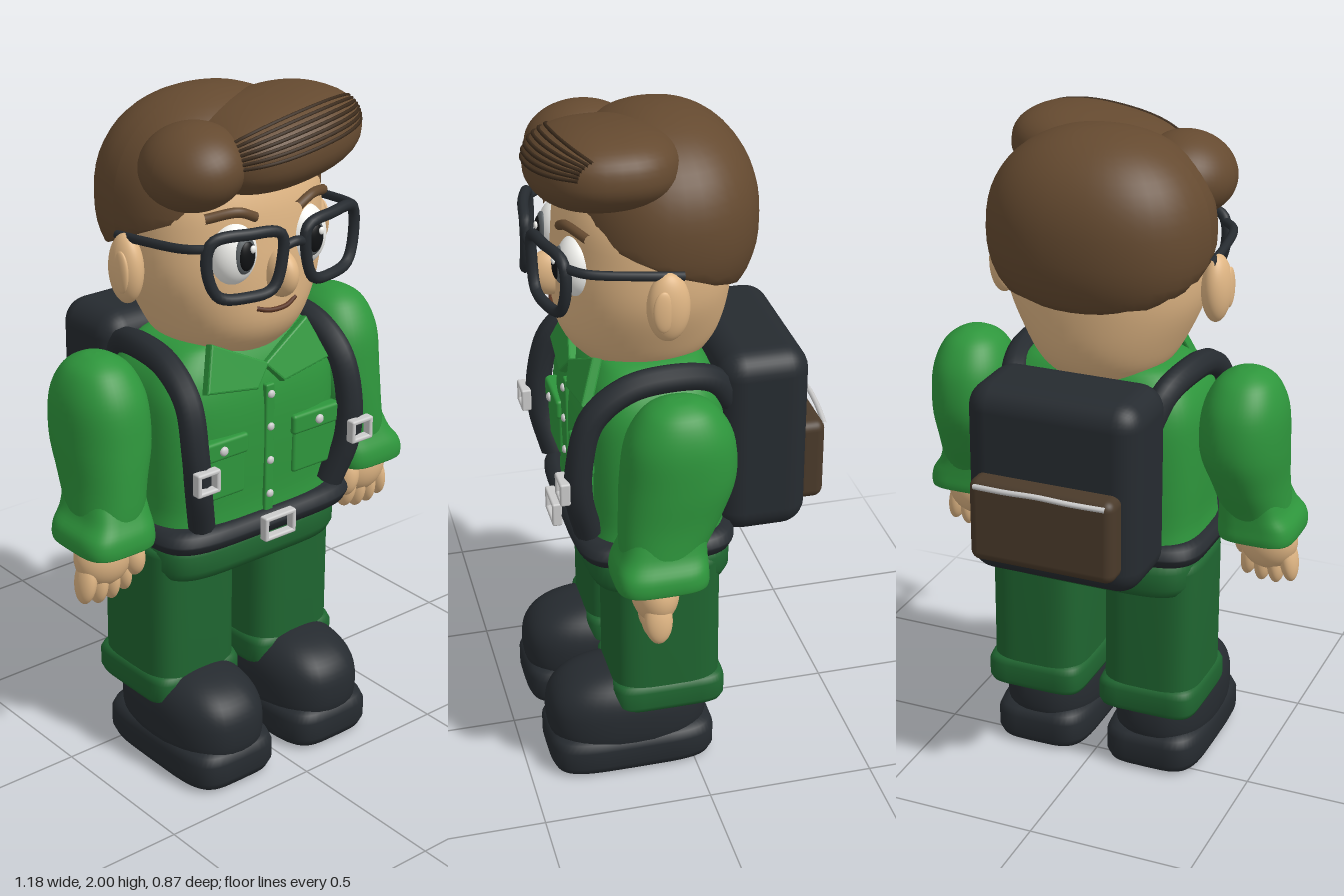
import * as THREE from 'three';
import { RoundedBoxGeometry } from 'three/addons/geometries/RoundedBoxGeometry.js';

const mat = (color) => new THREE.MeshStandardMaterial({ color });
const M = {
  shirt: mat(0x2e963c), pants: mat(0x1f6530), skin: mat(0xe0b684), hair: mat(0x654a30),
  strand: mat(0x3a2a1b), dark: mat(0x262b30), brown: mat(0x4a3a2a), metal: mat(0xcccccc),
  white: mat(0xf2f2ee), iris: mat(0x5b6164), black: mat(0x101214), mouth: mat(0x5a3422),
};
const V = (x, y, z) => new THREE.Vector3(x, y, z);
const power = (v, p) => Math.sign(v) * Math.abs(v) ** p;

export function createModel() {
  const model = new THREE.Group();
  const add = (name, geo, material, x = 0, y = 0, z = 0, parent = model) => {
    const mesh = new THREE.Mesh(geo, material);
    mesh.name = name;
    mesh.position.set(x, y, z);
    parent.add(mesh);
    return mesh;
  };

  // Superellipse cross-sections [y, cx, cz, rx, rz], bottom to top, optionally smoothed
  const loft = (sections, n = 2, steps = 1, around = 48) => {
    const mid = new THREE.CatmullRomCurve3(sections.map((s) => V(s[1], s[0], s[2])), false, 'catmullrom');
    const rad = new THREE.CatmullRomCurve3(sections.map((s) => V(s[3], s[4], 0)), false, 'catmullrom');
    const rows = (sections.length - 1) * steps;
    const pos = [], idx = [];
    for (let i = 0; i <= rows; i++) {
      const c = mid.getPoint(i / rows), r = rad.getPoint(i / rows);
      for (let j = 0; j < around; j++) {
        const t = (j / around) * Math.PI * 2;
        pos.push(c.x + Math.max(r.x, 0.001) * power(Math.cos(t), 2 / n), c.y,
          c.z + Math.max(r.y, 0.001) * power(Math.sin(t), 2 / n));
        if (i === rows) continue;
        const a = i * around + j, b = i * around + ((j + 1) % around);
        idx.push(a, a + around, b, b, a + around, b + around);
      }
    }
    const geo = new THREE.BufferGeometry();
    geo.setAttribute('position', new THREE.Float32BufferAttribute(pos, 3));
    geo.setIndex(idx);
    geo.computeVertexNormals();
    return geo;
  };
  // Pillow-edged slab
  const slab = (y0, y1, cx, cz, rx, rz, n = 5, e = 0.025) => loft([
    [y0, cx, cz, 0, 0], [y0, cx, cz, rx - e, rz - e], [y0 + e * 0.3, cx, cz, rx - e * 0.3, rz - e * 0.3],
    [y0 + e, cx, cz, rx, rz], [y1 - e, cx, cz, rx, rz], [y1 - e * 0.3, cx, cz, rx - e * 0.3, rz - e * 0.3],
    [y1, cx, cz, rx - e, rz - e], [y1, cx, cz, 0, 0]], n);
  // Ellipsoid, boxier for p below 1
  const blob = (rx, ry, rz, p = 1, rule) => {
    const geo = new THREE.SphereGeometry(1, 40, 28), a = geo.attributes.position;
    for (let i = 0; i < a.count; i++) {
      const v = V(rx * power(a.getX(i), p), ry * power(a.getY(i), p), rz * power(a.getZ(i), p));
      if (rule) rule(v);
      a.setXYZ(i, v.x, v.y, v.z);
    }
    geo.computeVertexNormals();
    return geo;
  };
  const tube = (pts, r, closed = false) => new THREE.TubeGeometry(
    new THREE.CatmullRomCurve3(pts.map((p) => V(...p)), closed), 48, r, 10, closed);
  const box = (w, h, d, r) => new RoundedBoxGeometry(w, h, d, 4, r);
  const buckle = (name, w, h, x, y, z) => {
    const g = new THREE.Group();
    g.name = name;
    g.position.set(x, y, z);
    model.add(g);
    for (const s of [-1, 1]) {
      add('buckleBar', box(w, 0.014, 0.03, 0.006), M.metal, 0, s * (h / 2 - 0.007), 0, g);
      add('buckleBar', box(0.014, h, 0.03, 0.006), M.metal, s * (w / 2 - 0.007), 0, 0, g);
    }
  };

  // Torso, hips and belt
  add('shirt', loft([[0.7, 0, 0.09, 0, 0], [0.71, 0, 0.09, 0.3, 0.2], [0.85, 0, 0.09, 0.315, 0.21],
    [1.08, 0, 0.09, 0.32, 0.215], [1.2, 0, 0.09, 0.31, 0.2], [1.28, 0, 0.09, 0.26, 0.165],
    [1.32, 0, 0.09, 0.18, 0.12], [1.33, 0, 0.09, 0, 0]], 3.6, 5), M.shirt);
  add('hips', slab(0.62, 0.75, 0, 0.085, 0.32, 0.215, 5, 0.04), M.pants);
  add('belt', slab(0.73, 0.8, 0, 0.1, 0.35, 0.24, 5, 0.032), M.dark);
  buckle('beltBuckle', 0.115, 0.075, 0, 0.767, 0.352);
  add('placket', box(0.032, 0.4, 0.02, 0.006), M.shirt, 0, 0.99, 0.302);
  for (const y of [1.16, 1.06, 0.955, 0.85]) add('shirtButton', blob(0.012, 0.012, 0.008), M.metal, 0, y, 0.314);

  // Head
  add('head', loft([[1.23, 0, 0.08, 0, 0], [1.25, 0, 0.08, 0.12, 0.12], [1.3, 0, 0.085, 0.185, 0.19],
    [1.38, 0, 0.09, 0.235, 0.235], [1.5, 0, 0.085, 0.287, 0.25], [1.62, 0, 0.08, 0.3, 0.25],
    [1.75, 0, 0.07, 0.29, 0.24], [1.87, 0, 0.06, 0.2, 0.18], [1.92, 0, 0.06, 0, 0]], 2.15, 5), M.skin);
  add('nose', blob(0.042, 0.068, 0.065), M.skin, 0, 1.53, 0.34);
  add('mouth', tube([[-0.07, 1.437, 0.325], [-0.03, 1.426, 0.335], [0.03, 1.426, 0.335], [0.07, 1.44, 0.325]], 0.007), M.mouth);

  // Hair cap, cut off along a slope rising towards the forehead
  const capZ = 0.03, capY = 1.7;
  add('hairCap', blob(0.33, 0.29, 0.27, 0.9, (v) => {
    v.y = Math.max(v.y, 1.596 + 0.44 * (v.z + capZ) - capY);
  }), M.hair, 0, capY, capZ);
  add('sideHair', blob(0.14, 0.115, 0.16), M.hair, -0.195, 1.835, 0.205).rotation.z = 0.3;

  // Swept fringe with combed strands on its surface
  const fringe = new THREE.Group();
  fringe.name = 'fringe';
  fringe.position.set(0.07, 1.87, 0.205);
  fringe.rotation.z = 0.16;
  model.add(fringe);
  const F = [0.265, 0.118, 0.21, 0.85];
  add('fringeBody', blob(...F), M.hair, 0, 0, 0, fringe);
  for (let i = 0; i < 7; i++) {
    const a = 0.1 + i * 0.14, pts = [];
    for (let k = 0; k <= 8; k++) {
      const x = -0.8 + k * 0.21, w = Math.sqrt(Math.max(0, 1 - x * x));
      pts.push([F[0] * power(x, F[3]), F[1] * power(w * Math.sin(a), F[3]), F[2] * power(w * Math.cos(a), F[3])]);
    }
    add('hairStrand', tube(pts, 0.005), M.strand, 0, 0, 0, fringe);
  }

  // Glasses bridge
  const lensZ = (x) => 0.4 - 0.75 * x * x;
  add('glassesBridge', tube([[-0.045, 1.625, 0.395], [0, 1.637, 0.402], [0.045, 1.625, 0.395]], 0.014), M.dark);

  // Backpack
  add('backpack', box(0.53, 0.58, 0.27, 0.075), M.dark, 0, 1.03, -0.222);
  add('backpackPocket', box(0.445, 0.255, 0.09, 0.03), M.brown, 0, 0.937, -0.37);
  add('zipper', tube([[-0.2, 1.045, -0.414], [-0.1, 1.05, -0.426], [0, 1.055, -0.43], [0.1, 1.05, -0.426], [0.2, 1.045, -0.414]], 0.008), M.metal);

  for (const s of [-1, 1]) {
    // Face details
    add('ear', blob(0.042, 0.1, 0.06), M.skin, s * 0.33, 1.545, 0.085);
    add('earInner', blob(0.012, 0.06, 0.03), M.skin, s * 0.362, 1.545, 0.105);
    add('eye', blob(0.072, 0.09, 0.06), M.white, s * 0.125, 1.6, 0.288);
    add('iris', blob(0.036, 0.054, 0.018), M.iris, s * 0.122, 1.605, 0.336);
    add('pupil', blob(0.027, 0.042, 0.014), M.black, s * 0.122, 1.605, 0.345);
    add('eyeGlint', blob(0.009, 0.011, 0.006), M.white, s * 0.122 + 0.012, 1.625, 0.357);
    add('eyebrow', tube([[s * 0.075, 1.7, 0.325], [s * 0.13, 1.722, 0.318], [s * 0.21, 1.708, 0.275]], 0.014), M.hair);
    // Glasses rim and temple
    const rim = [[-0.1, 0.07], [0, 0.085], [0.1, 0.075], [0.116, 0.015], [0.085, -0.078], [0, -0.092], [-0.075, -0.08], [-0.105, 0]];
    add('glassesRim', tube(rim.map(([x, y]) => [s * (x + 0.147), y + 1.597, lensZ(x + 0.147)]), 0.016, true), M.dark);
    add('glassesTemple', tube([[s * 0.255, 1.655, 0.35], [s * 0.3, 1.652, 0.3], [s * 0.325, 1.64, 0.15], [s * 0.325, 1.628, 0.04]], 0.013), M.dark);

    // Collar flap
    const flap = new THREE.Shape([[0, 0.04], [s * 0.05, -0.015], [s * 0.215, 0.01], [s * 0.17, 0.13]].map((p) => new THREE.Vector2(...p)));
    add('collar', new THREE.ExtrudeGeometry(flap, { depth: 0.02, bevelSize: 0.006, bevelThickness: 0.006, bevelSegments: 2 }),
      M.shirt, 0, 1.2, 0.285).rotation.x = -0.35;

    // Chest pocket
    add('chestPocket', box(0.165, 0.15, 0.03, 0.01), M.shirt, s * 0.172, 0.96, 0.297);
    add('pocketFlap', box(0.178, 0.06, 0.04, 0.01), M.shirt, s * 0.172, 1.038, 0.3);
    add('pocketButton', blob(0.014, 0.014, 0.009), M.metal, s * 0.177, 1.037, 0.322);

    // Shoulder strap and buckle
    add('shoulderStrap', tube([[s * 0.21, 1.18, -0.12], [s * 0.235, 1.26, -0.06], [s * 0.26, 1.29, 0.06], [s * 0.272, 1.275, 0.19],
      [s * 0.28, 1.2, 0.29], [s * 0.285, 1.06, 0.33], [s * 0.275, 0.95, 0.33], [s * 0.24, 0.82, 0.3]], 0.04), M.dark);
    buckle('strapBuckle', 0.08, 0.07, s * 0.284, 0.995, 0.378);

    // Sleeve and its flared cuff
    add('sleeve', loft([[0.8, s * 0.472, 0.148, 0.09, 0.1], [0.88, s * 0.455, 0.135, 0.1, 0.122],
      [0.97, s * 0.443, 0.11, 0.108, 0.145], [1.08, s * 0.43, 0.085, 0.125, 0.162], [1.2, s * 0.43, 0.08, 0.12, 0.15],
      [1.28, s * 0.432, 0.08, 0.088, 0.105], [1.315, s * 0.433, 0.08, 0.04, 0.05], [1.322, s * 0.433, 0.08, 0, 0]], 2.2, 5), M.shirt);
    add('sleeveCuff', loft([[0.8, s * 0.472, 0.148, 0, 0], [0.79, s * 0.472, 0.15, 0.1, 0.115], [0.8, s * 0.472, 0.15, 0.117, 0.132],
      [0.84, s * 0.469, 0.148, 0.115, 0.13], [0.88, s * 0.457, 0.138, 0.1, 0.12], [0.93, s * 0.45, 0.125, 0.09, 0.11]], 3.8, 4), M.shirt);

    // Hand
    add('palm', blob(0.09, 0.095, 0.068), M.skin, s * 0.485, 0.755, 0.165);
    for (let i = 0; i < 4; i++) {
      const t = i - 1.5;
      const finger = add('finger', blob(0.027, 0.07, 0.04), M.skin, s * (0.49 + t * 0.04), 0.675 + Math.abs(t) * 0.012, 0.17);
      finger.rotation.z = s * t * 0.1;
    }
    add('thumb', blob(0.036, 0.065, 0.042), M.skin, s * 0.408, 0.74, 0.195).rotation.z = -s * 0.15;

    // Leg, trouser cuff and shoe
    add('leg', slab(0.22, 0.72, s * 0.185, 0.078, 0.15, 0.165, 4), M.pants);
    add('trouserCuff', slab(0.21, 0.31, s * 0.185, 0.075, 0.158, 0.172, 6), M.pants);
    add('shoeUpper', blob(0.154, 0.15, 0.245, 0.78), M.dark, s * 0.185, 0.163, 0.185);
    add('shoeSole', slab(0, 0.125, s * 0.185, 0.18, 0.156, 0.252, 4.5, 0.035), M.dark);
  }
  return model;
}
